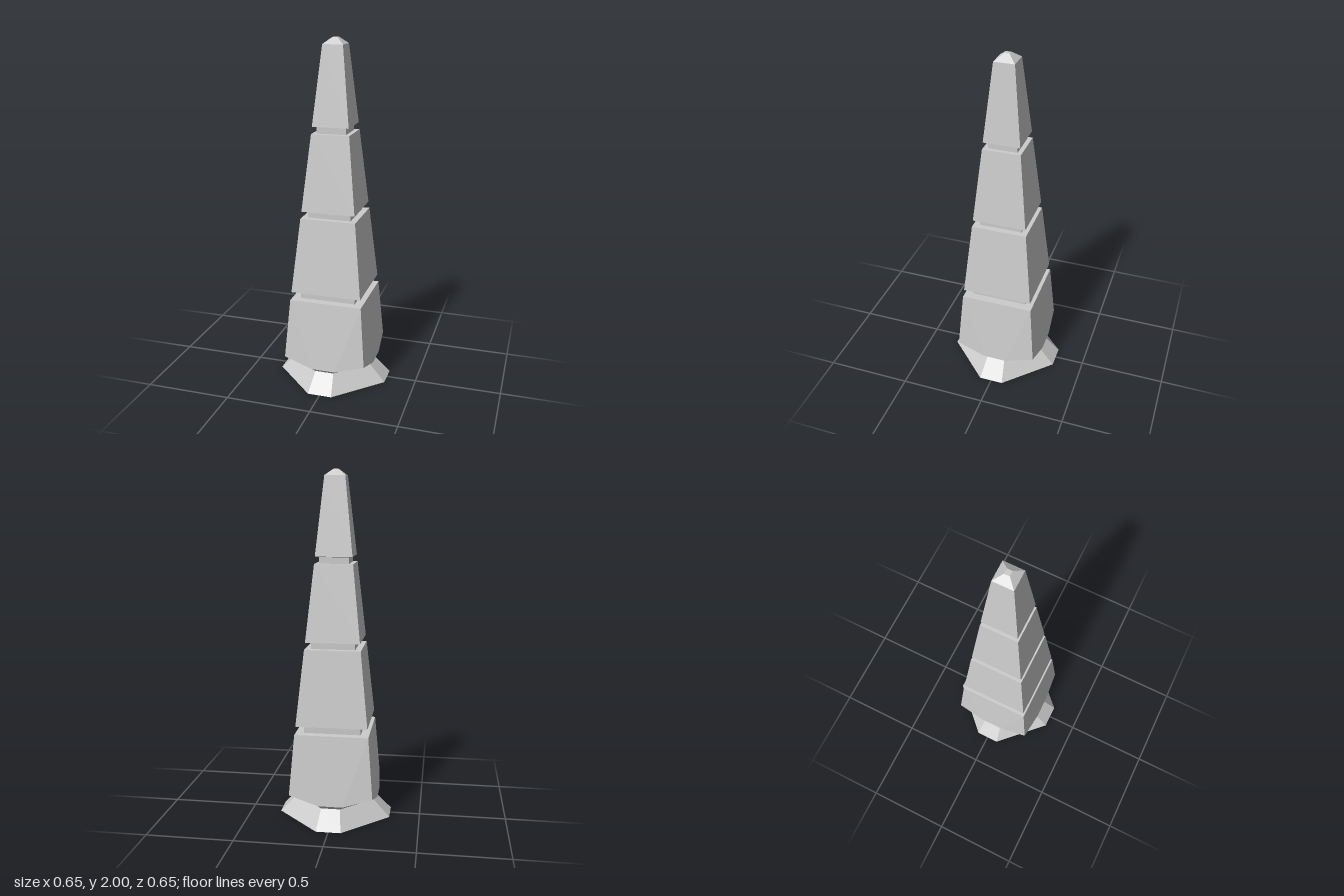
import * as THREE from 'three';

const material = new THREE.MeshStandardMaterial({ color: 0xcccccc, flatShading: true });

// Fans each convex polygon into triangles and repeats it on all four sides.
function fourSided(name, polygons) {
  const positions = [];
  for (let side = 0; side < 4; side++) {
    const c = [1, 0, -1, 0][side], s = [0, 1, 0, -1][side];
    const put = ([x, y, z]) => positions.push(c * x + s * z, y, c * z - s * x);
    for (const p of polygons) {
      for (let i = 1; i < p.length - 1; i++) [p[0], p[i], p[i + 1]].forEach(put);
    }
  }
  const geometry = new THREE.BufferGeometry();
  geometry.setAttribute('position', new THREE.Float32BufferAttribute(positions, 3));
  geometry.computeVertexNormals();
  const mesh = new THREE.Mesh(geometry, material);
  mesh.name = name;
  return mesh;
}

// Square stack from [half width, height] pairs, bottom to top.
function squareStack(name, profile) {
  const points = profile.map(([half, y]) => new THREE.Vector2(half * Math.SQRT2, y));
  const mesh = new THREE.Mesh(new THREE.LatheGeometry(points, 4, Math.PI / 4), material);
  mesh.name = name;
  return mesh;
}

export function createModel() {
  const group = new THREE.Group();
  group.name = 'obelisk';

  // Shared corners: waist octagon, lower rim and block corner
  const mirror = ([x, y, z]) => [-x, y, z];
  const turn = ([x, y, z]) => [z, y, x];
  const foot = [0.07, 0, 0.325];
  const waist = [0.055, 0.1, 0.23];
  const rim = [0.07, 0.122, 0.254];
  const corner = [0.24, 0.172, 0.24];
  const top = [0.211, 0.525, 0.211];

  // Flared eight-sided foot
  group.add(fourSided('foot', [
    [mirror(waist), mirror(foot), foot, waist],
    [waist, foot, turn(foot), turn(waist)],
    [[0, 0, 0], foot, mirror(foot)],
    [[0, 0, 0], turn(foot), foot],
  ]));

  // Bottom block with undercut corners
  group.add(fourSided('baseBlock', [
    [mirror(top), mirror(rim), rim, top],
    [mirror(top), mirror(corner), mirror(rim)],
    [rim, corner, top],
    [mirror(rim), mirror(waist), waist, rim],
    [corner, rim, turn(rim)],
    [rim, waist, turn(waist), turn(rim)],
    [[0, 0.525, 0], mirror(top), top],
  ]));

  // Tapering tiers, each standing on a recessed neck
  const tiers = [
    { name: 'lowerTier', neck: 0.163, y0: 0.525, y1: 0.572, y2: 1.008, bottom: 0.205, top: 0.16 },
    { name: 'middleTier', neck: 0.125, y0: 1.008, y1: 1.048, y2: 1.485, bottom: 0.155, top: 0.109 },
    { name: 'upperTier', neck: 0.084, y0: 1.485, y1: 1.525, y2: 1.965, bottom: 0.105, top: 0.058 },
  ];
  for (const t of tiers) {
    group.add(squareStack(t.name, [
      [t.neck, t.y0], [t.neck, t.y1 - 0.004], [t.bottom, t.y1], [t.top, t.y2], [0, t.y2],
    ]));
  }

  // Blunt pyramid cap
  group.add(squareStack('cap', [[0.058, 1.965], [0.015, 2], [0, 2]]));

  return group;
}
